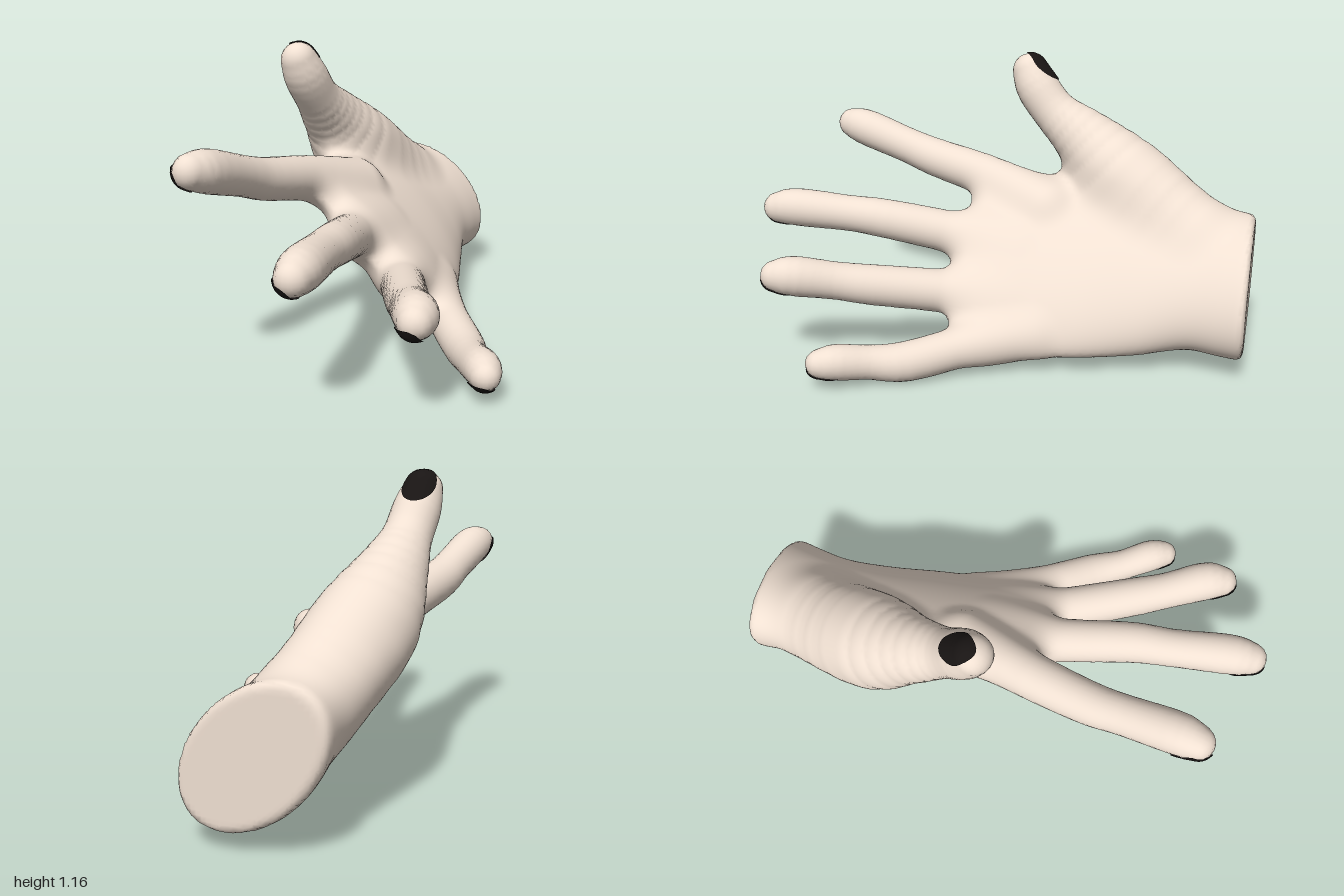
import * as THREE from 'three';

const V = (x, y, z) => new THREE.Vector3(x, y, z);

// Digits: centre line points with a radius [x, y, z, r], and the way the nail faces.
const digits = {
  thumb: {
    blend: 0.1, nail: V(-0.15, 0.6, -0.78), nailSize: [0.06, 0.08],
    path: [[-0.4, 0.5, -0.7, 0.15], [-0.44, 0.65, -0.43, 0.185], [-0.45, 0.81, -0.24, 0.13],
      [-0.44, 0.92, -0.1, 0.093], [-0.44, 1.02, -0.015, 0.089], [-0.447, 1.09, 0.025, 0.073]],
  },
  indexFinger: {
    blend: 0.07, nail: V(-0.8, -0.55, 0.1), nailSize: [0.054, 0.07],
    path: [[-0.27, 0.57, -0.12, 0.1], [-0.32, 0.645, 0.15, 0.09], [-0.345, 0.695, 0.42, 0.082],
      [-0.345, 0.735, 0.56, 0.076], [-0.343, 0.793, 0.76, 0.079], [-0.348, 0.808, 0.838, 0.064]],
  },
  middleFinger: {
    blend: 0.07, nail: V(-0.6, -0.8, 0), nailSize: [0.054, 0.07],
    path: [[-0.16, 0.4, -0.05, 0.1], [-0.1, 0.455, 0.2, 0.088], [-0.005, 0.51, 0.48, 0.081],
      [0.035, 0.525, 0.64, 0.075], [0.095, 0.54, 0.85, 0.079], [0.115, 0.535, 0.93, 0.064]],
  },
  ringFinger: {
    blend: 0.07, nail: V(-0.45, -0.9, 0), nailSize: [0.054, 0.07],
    path: [[-0.03, 0.23, -0.06, 0.1], [0.1, 0.28, 0.17, 0.087], [0.245, 0.32, 0.41, 0.081],
      [0.32, 0.345, 0.53, 0.075], [0.41, 0.375, 0.66, 0.079], [0.44, 0.377, 0.725, 0.062]],
  },
  littleFinger: {
    blend: 0.07, nail: V(-0.35, -0.94, 0), nailSize: [0.049, 0.06],
    path: [[0.06, 0.145, -0.2, 0.08], [0.22, 0.115, 0.02, 0.08], [0.37, 0.085, 0.19, 0.078],
      [0.45, 0.095, 0.3, 0.067], [0.535, 0.113, 0.4, 0.069], [0.57, 0.112, 0.452, 0.056]],
  },
};

// Palm and wrist: oval sections along z, [z, centre u, centre v, half width, half thickness].
// u runs across the hand towards the thumb, v points out of the palm.
const palmSections = [
  [-1.02, 0.472, 0, 0.305, 0.205], [-0.9, 0.472, 0, 0.302, 0.2], [-0.78, 0.468, 0.015, 0.302, 0.182],
  [-0.6, 0.455, 0.047, 0.362, 0.165], [-0.4, 0.422, 0.1, 0.403, 0.145], [-0.2, 0.375, 0.15, 0.41, 0.125],
  [0, 0.31, 0.2, 0.405, 0.11], [0.1, 0.34, 0.22, 0.345, 0.095], [0.2, 0.44, 0.235, 0.22, 0.065],
];
const cubic = (rows) => new THREE.CubicInterpolant(rows.map((s) => s[0]), rows.flatMap((s) => s.slice(1)), 4);
const palmAt = cubic(palmSections);

// Smoothly resampled centre lines of the digits
const smoothPaths = Object.values(digits).map(({ path, blend: fillet }) => {
  const along = cubic(path.map((p, i) => [i, ...p]));
  const count = 18;
  const points = Array.from({ length: count + 1 }, (_, i) => [...along.evaluate(i * (path.length - 1) / count)]);
  return { points, fillet };
});

// Union of two distances with a fillet of size k, and the matching intersection
function blend(a, b, k) {
  const h = Math.max(k - Math.abs(a - b), 0) / k;
  return Math.min(a, b) - h * h * k / 4;
}
const cut = (a, b, k) => -blend(-a, -b, k);

// Distance to the oval palm, rounded off at the knuckles
function palmDistance(x, y, z) {
  const [cu, cv, a, b] = palmAt.evaluate(z);
  const u = (y - x) * Math.SQRT1_2 - cu, v = (x + y) * Math.SQRT1_2 - cv;
  const k0 = Math.hypot(u / a, v / b), k1 = Math.hypot(u / (a * a), v / (b * b));
  return cut(k0 * (k0 - 1) / (k1 + 1e-6), z - 0.19, 0.1);
}

// Distance to a chain of tapered capsules
function digitDistance(points, x, y, z) {
  let d = Infinity;
  for (let i = 0; i + 1 < points.length; i++) {
    const [ax, ay, az, ar] = points[i], [bx, by, bz, br] = points[i + 1];
    const ex = bx - ax, ey = by - ay, ez = bz - az, px = x - ax, py = y - ay, pz = z - az;
    const t = Math.min(1, Math.max(0, (px * ex + py * ey + pz * ez) / (ex * ex + ey * ey + ez * ez)));
    const qx = px - ex * t, qy = py - ey * t, qz = pz - ez * t;
    d = Math.min(d, Math.sqrt(qx * qx + qy * qy + qz * qz) - (ar + (br - ar) * t));
  }
  return d;
}

// Whole hand, cut off by a slightly slanted plane at the wrist
function handDistance(x, y, z) {
  let d = palmDistance(x, y, z);
  for (const { points, fillet } of smoothPaths) d = blend(d, digitDistance(points, x, y, z), fillet);
  return cut(d, -1 - 0.146 * (x + 0.1) - z, 0.035);
}

// Outward direction of the skin at a point
function skinNormal(x, y, z, e = 0.012) {
  return V(
    handDistance(x + e, y, z) - handDistance(x - e, y, z),
    handDistance(x, y + e, z) - handDistance(x, y - e, z),
    handDistance(x, y, z + e) - handDistance(x, y, z - e)).normalize();
}

// One seamless skin: a vertex in every grid cell the surface crosses, a quad across every crossed edge
function skinGeometry() {
  const step = 0.018, origin = [-0.72, -0.06, -1.07], size = [81, 74, 120];
  const stride = [1, size[0], size[0] * size[1]];
  const field = new Float32Array(size[0] * size[1] * size[2]);
  const eachCell = (lo, visit) => {
    for (let k = lo; k < size[2] - lo; k++)
      for (let j = lo; j < size[1] - lo; j++)
        for (let i = lo; i < size[0] - lo; i++) visit(i + j * stride[1] + k * stride[2], [i, j, k]);
  };
  eachCell(0, (n, c) => {
    field[n] = handDistance(...c.map((q, a) => origin[a] + q * step));
  });

  const positions = [], normals = [], index = [], vertexOf = new Map();
  eachCell(1, (n, c) => {
    const sum = [0, 0, 0];
    let hits = 0;
    for (let corner = 0; corner < 8; corner++) {
      const bits = [corner & 1, (corner >> 1) & 1, corner >> 2];
      const m = n + bits[0] + bits[1] * stride[1] + bits[2] * stride[2];
      for (let axis = 0; axis < 3; axis++) {
        const d0 = field[m], d1 = field[m + stride[axis]];
        if (bits[axis] || (d0 < 0) === (d1 < 0)) continue;
        for (let a = 0; a < 3; a++) sum[a] += bits[a] + (a === axis ? d0 / (d0 - d1) : 0);
        hits++;
      }
    }
    if (!hits) return;
    const p = sum.map((s, a) => origin[a] + (c[a] + s / hits) * step);
    vertexOf.set(n, positions.length / 3);
    positions.push(...p);
    normals.push(...skinNormal(...p).toArray());
  });
  eachCell(2, (n) => {
    for (let axis = 0; axis < 3; axis++) {
      const inside = field[n] < 0;
      if (inside === (field[n + stride[axis]] < 0)) continue;
      const b = stride[(axis + 1) % 3], c = stride[(axis + 2) % 3];
      const q = [n - b - c, n - c, n, n - b].map((m) => vertexOf.get(m));
      if (!inside) q.reverse();
      index.push(q[0], q[1], q[2], q[0], q[2], q[3]);
    }
  });

  const geometry = new THREE.BufferGeometry();
  geometry.setAttribute('position', new THREE.Float32BufferAttribute(positions, 3));
  geometry.setAttribute('normal', new THREE.Float32BufferAttribute(normals, 3));
  geometry.setIndex(index);
  return geometry;
}

// Nail: an oval disc lowered onto the fingertip, its free end reaching just past it
function nailGeometry({ path, nail, nailSize: [halfWidth, halfLength] }) {
  const tip = V(...path.at(-1)), floor = path.at(-1)[3] * 0.3;
  const along = tip.clone().sub(V(...path.at(-2))).normalize();
  const up = nail.clone().addScaledVector(along, -nail.dot(along)).normalize();
  const side = along.clone().cross(up);
  const geometry = new THREE.RingGeometry(0.001, 1, 28, 6);
  const pos = geometry.attributes.position;
  for (let i = 0; i < pos.count; i++) {
    const p = tip.clone().addScaledVector(up, 0.12)
      .addScaledVector(side, pos.getX(i) * halfWidth)
      .addScaledVector(along, pos.getY(i) * halfLength - 0.006);
    let height = 0.12;
    for (let s = 0; s < 30 && height > floor; s++) {
      const drop = Math.min(handDistance(p.x, p.y, p.z) - 0.004, height - floor);
      p.addScaledVector(up, -drop);
      height -= drop;
    }
    pos.setXYZ(i, p.x, p.y, p.z);
  }
  geometry.computeVertexNormals();
  return geometry;
}

export function createModel() {
  const group = new THREE.Group();
  group.name = 'hand';
  const skinMaterial = new THREE.MeshStandardMaterial({ color: 0xf0e0d2 });
  const nailMaterial = new THREE.MeshStandardMaterial({ color: 0x191514, side: THREE.DoubleSide });
  const add = (name, geometry, material) => {
    const mesh = new THREE.Mesh(geometry, material);
    mesh.name = name;
    group.add(mesh);
  };
  add('skin', skinGeometry(), skinMaterial);
  for (const [name, digit] of Object.entries(digits)) add(name + 'Nail', nailGeometry(digit), nailMaterial);
  return group;
}
